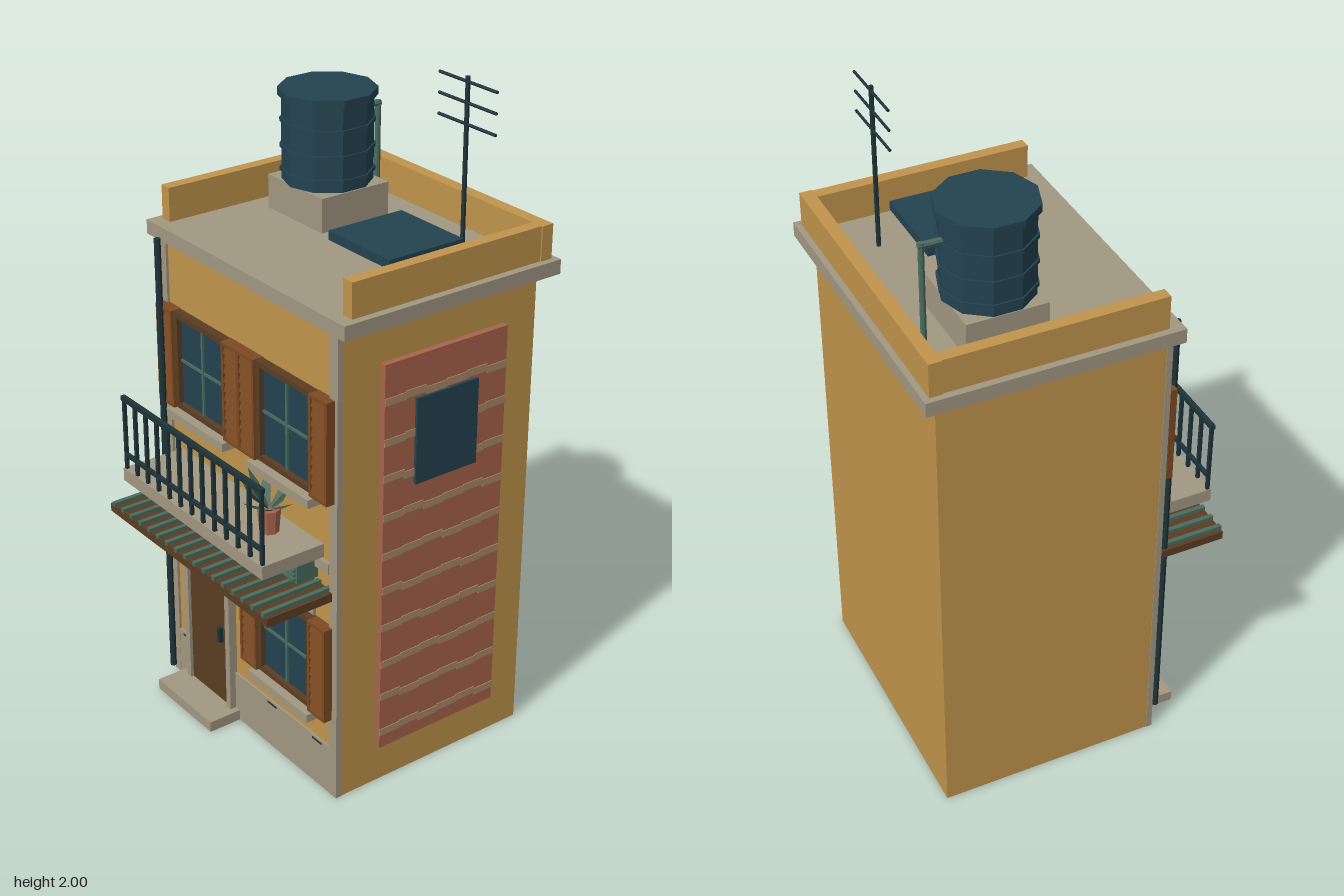
import * as THREE from 'three';

const mat = (name, color) => {
  const m = new THREE.MeshStandardMaterial({ color });
  m.name = name;
  return m;
};

export function createModel() {
  const ochre = mat('ochre plaster', 0xc0944c);
  const concrete = mat('concrete', 0xa29882);
  const brick = mat('brick', 0xa8644b);
  const mortar = mat('mortar', 0xac8a66);
  const teal = mat('dark teal', 0x234350);
  const shutterWood = mat('shutter wood', 0x7c4a22);
  const darkWood = mat('dark wood', 0x5a3d22);
  const green = mat('grey green', 0x4a6c5e);
  const leafGreen = mat('leaf green', 0x3a5a4c);
  leafGreen.side = THREE.DoubleSide;
  const metal = mat('dark metal', 0x1f3338);

  const root = new THREE.Group();
  root.name = 'townhouse';
  const group = (name, parent = root) => {
    const g = new THREE.Group();
    g.name = name;
    parent.add(g);
    return g;
  };
  const add = (name, geo, m, parent) => {
    const mesh = new THREE.Mesh(geo, m);
    mesh.name = name;
    parent.add(mesh);
    return mesh;
  };
  // Box given by its limits on each axis
  const box = (name, m, x0, x1, y0, y1, z0, z1, parent = root) => {
    const mesh = add(name, new THREE.BoxGeometry(x1 - x0, y1 - y0, z1 - z0), m, parent);
    mesh.position.set((x0 + x1) / 2, (y0 + y1) / 2, (z0 + z1) / 2);
    return mesh;
  };
  // Round rod between two points
  const rod = (name, m, a, b, r, parent = root, sides = 6) => {
    const p = new THREE.Vector3(...a), d = new THREE.Vector3(...b).sub(p);
    const mesh = add(name, new THREE.CylinderGeometry(r, r, d.length(), sides).toNonIndexed(), m, parent);
    mesh.geometry.computeVertexNormals();
    mesh.position.copy(p).addScaledVector(d, 0.5);
    mesh.quaternion.setFromUnitVectors(new THREE.Vector3(0, 1, 0), d.normalize());
    return mesh;
  };

  // Main walls, corner strips, plinth and floor band
  box('walls', ochre, -0.42, 0.415, 0, 1.47, -0.43, 0.245);
  box('cornerStripRight', concrete, -0.422, -0.39, 0, 1.47, 0.235, 0.253);
  box('cornerStripLeft', concrete, 0.382, 0.417, 0, 1.47, 0.235, 0.253);
  box('plinth', concrete, -0.39, 0.382, 0, 0.16, 0.24, 0.252);
  box('floorBand', concrete, -0.39, 0.382, 0.735, 0.768, 0.24, 0.257);
  for (const x of [-0.345, 0.105, 0.325])
    box('plinthChip', metal, x - 0.022, x + 0.022, 0.148, 0.153, 0.25, 0.254);
  box('brickPatch', brick, -0.375, -0.105, 0.535, 0.735, 0.24, 0.25);
  box('wallPatch', concrete, 0.24, 0.312, 0.57, 0.62, 0.24, 0.255);

  // Roof slab and parapet, open to the front
  box('roofSlab', concrete, -0.463, 0.462, 1.465, 1.508, -0.473, 0.267);
  const parapet = group('parapet');
  box('parapetBack', ochre, -0.445, 0.443, 1.508, 1.61, -0.455, -0.417, parapet);
  box('parapetRight', ochre, -0.442, -0.405, 1.508, 1.61, -0.417, 0.226, parapet);
  box('parapetLeft', ochre, 0.402, 0.439, 1.508, 1.61, -0.417, 0.226, parapet);

  // Exposed brick on the side wall, with broken mortar courses
  const side = group('sideBrickPanel');
  box('bricks', brick, 0.41, 0.434, 0.125, 1.345, -0.315, 0.11, side);
  for (let i = 0; i < 10; i++) {
    const y = 0.178 + i * 0.1175;
    for (let j = 0; j < 6; j++) {
      const z = -0.315 + j * 0.0708, dy = ((i + j * 2) % 3 - 1) * 0.004;
      box('mortarCourse', mortar, 0.43, 0.4365, y - 0.011 + dy, y + 0.011 + dy, z, z + 0.0709, side);
    }
  }
  box('sideWindow', teal, 0.43, 0.443, 0.96, 1.22, -0.21, 0.005, side);

  // Shuttered windows
  const shutter = (x0, x1, y0, y1, parent) => {
    const g = group('shutter', parent);
    box('shutterPanel', shutterWood, x0, x1, y0, y1, 0.24, 0.272, g);
    const n = 10, step = (y1 - y0 - 0.02) / n;
    for (let i = 0; i < n; i++) {
      const slat = box('slat', shutterWood, x0 + 0.009, x1 - 0.009, y0 + 0.012 + i * step,
        y0 + 0.007 + (i + 1) * step, 0.268, 0.277, g);
      slat.rotation.x = -0.3;
    }
    for (const x of [x0, x1 - 0.009]) box('stile', shutterWood, x, x + 0.009, y0, y1, 0.27, 0.281, g);
    for (const y of [y0, y1 - 0.01]) box('rail', shutterWood, x0 + 0.009, x1 - 0.009, y, y + 0.01, 0.27, 0.281, g);
  };
  const frontWindow = (name, cx, y0, y1) => {
    const g = group(name), w = 0.126, t = 0.016;
    box('glass', teal, cx - w + t, cx + w - t, y0 + t, y1 - t, 0.24, 0.256, g);
    for (const s of [-1, 1]) {
      const x = cx + s * (w - t / 2);
      box('frameSide', darkWood, x - t / 2, x + t / 2, y0, y1, 0.24, 0.272, g);
      const e = cx + s * w, o = cx + s * (w + 0.079);
      shutter(Math.min(e, o), Math.max(e, o), y0 - 0.002, y1 + 0.002, g);
    }
    for (const y of [y0, y1 - t])
      box('frameRail', darkWood, cx - w + t, cx + w - t, y, y + t, 0.24, 0.272, g);
    const my = (y0 + y1) / 2;
    box('mullion', green, cx - 0.004, cx + 0.004, y0 + t, y1 - t, 0.25, 0.262, g);
    box('glazingBar', green, cx - w + t, cx + w - t, my - 0.004, my + 0.004, 0.25, 0.261, g);
    box('sill', concrete, cx - 0.143, cx + 0.143, y0 - 0.03, y0 - 0.004, 0.24, 0.296, g);
  };
  frontWindow('upperWindowRight', -0.205, 0.967, 1.27);
  frontWindow('upperWindowLeft', 0.2, 0.967, 1.27);
  frontWindow('lowerWindow', 0.191, 0.265, 0.565);

  // Door with surround, transom, handle and step
  const door = group('frontDoor');
  box('surroundRight', concrete, -0.325, -0.303, 0, 0.575, 0.24, 0.272, door);
  box('surroundLeft', concrete, -0.108, -0.086, 0, 0.575, 0.24, 0.272, door);
  box('surroundTop', concrete, -0.303, -0.108, 0.54, 0.575, 0.24, 0.272, door);
  box('doorLeaf', darkWood, -0.303, -0.108, 0.03, 0.54, 0.24, 0.262, door);
  box('transomGlass', teal, -0.285, -0.13, 0.465, 0.525, 0.258, 0.267, door);
  box('handle', metal, -0.145, -0.132, 0.25, 0.3, 0.258, 0.275, door);
  box('doorStep', concrete, -0.352, -0.066, 0, 0.034, 0.24, 0.36, door);

  // Ribbed awning
  const awning = group('awning');
  box('awningDeck', darkWood, -0.396, 0.396, 0.656, 0.682, 0.24, 0.472, awning);
  for (let i = 0; i < 17; i++) {
    const x = -0.376 + i * 0.047;
    box('awningRib', green, x - 0.007, x + 0.007, 0.68, 0.693, 0.24, 0.474, awning);
  }

  // Air conditioner with louvres
  const cooler = group('airConditioner');
  box('coolerBody', green, 0.13, 0.322, 0.698, 0.772, 0.24, 0.317, cooler);
  for (let i = 0; i < 5; i++)
    box('louvre', green, 0.138, 0.314, 0.706 + i * 0.0135, 0.713 + i * 0.0135, 0.315, 0.325, cooler);

  // Balcony with front railing
  const balcony = group('balcony');
  box('balconySlab', concrete, -0.348, 0.348, 0.773, 0.814, 0.24, 0.451, balcony);
  box('topRail', metal, -0.348, 0.345, 1.034, 1.048, 0.436, 0.45, balcony);
  box('bottomRail', metal, -0.345, 0.342, 0.854, 0.866, 0.438, 0.448, balcony);
  for (let i = 0; i < 13; i++) {
    const x = -0.34 + i * 0.0565;
    box('baluster', metal, x - 0.005, x + 0.005, 0.812, 1.036, 0.438, 0.448, balcony);
  }

  // Potted plant: tapered leaves around a pot
  const plant = group('pottedPlant');
  plant.position.set(0.2, 0.814, 0.322);
  const potGeo = new THREE.CylinderGeometry(0.034, 0.028, 0.072, 8).toNonIndexed();
  potGeo.computeVertexNormals();
  add('pot', potGeo, brick, plant).position.y = 0.036;
  const leaf = new THREE.BufferGeometry();
  leaf.setAttribute('position', new THREE.Float32BufferAttribute(
    [-0.004, 0, 0, 0.004, 0, 0, -0.014, 0.035, 0.06, 0.014, 0.035, 0.06, 0, 0.06, 0.092], 3));
  leaf.setIndex([0, 1, 2, 1, 3, 2, 2, 3, 4]);
  leaf.computeVertexNormals();
  for (let i = 0; i < 11; i++) {
    const blade = add('leaf', leaf, leafGreen, plant);
    blade.position.y = 0.066;
    blade.rotation.y = i * 2.4;
    blade.scale.set(1, 0.8 + (i % 3) * 0.4, i % 4 === 1 ? 0.6 : 0.95);
  }

  // Downpipe
  rod('downpipe', metal, [-0.382, 0.045, 0.285], [-0.382, 1.48, 0.285], 0.01, root, 8);

  // Water tank on its base, with hoops, lid and pipe
  const tank = group('waterTank');
  box('tankBase', concrete, -0.332, -0.076, 1.508, 1.61, -0.302, -0.066, tank);
  const drum = (name, r, y0, y1) => {
    const g = new THREE.CylinderGeometry(r, r, y1 - y0, 10).toNonIndexed();
    g.computeVertexNormals();
    add(name, g, teal, tank).position.set(-0.205, (y0 + y1) / 2, -0.183);
  };
  drum('tankBody', 0.131, 1.61, 1.865);
  for (const y of [1.635, 1.705, 1.78]) drum('hoop', 0.136, y, y + 0.012);
  drum('lid', 0.142, 1.857, 1.88);
  rod('outletPipe', green, [-0.21, 1.795, -0.29], [-0.21, 1.795, -0.375], 0.009, tank, 8);
  rod('dropPipe', green, [-0.21, 1.803, -0.367], [-0.21, 1.508, -0.367], 0.009, tank, 8);

  // Raised roof hatch
  box('roofHatch', teal, 0.07, 0.334, 1.558, 1.585, -0.232, 0.022);

  // Aerial
  const aerial = group('aerial');
  rod('mast', metal, [0.25, 1.508, -0.302], [0.25, 2, -0.302], 0.007, aerial);
  for (const y of [1.868, 1.927, 1.985])
    rod('crossBar', metal, [0.134, y, -0.302], [0.368, y, -0.302], 0.0045, aerial);

  return root;
}
